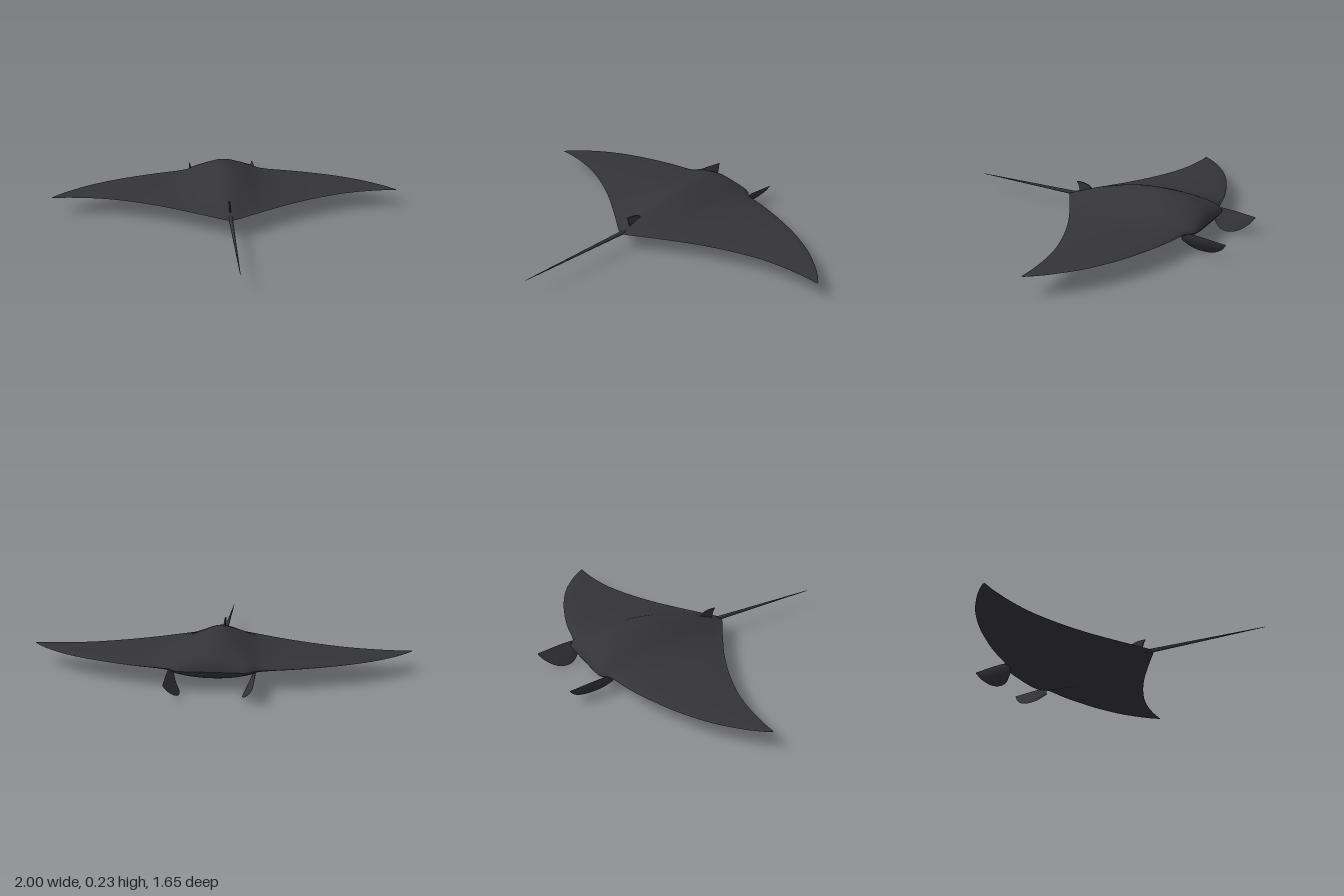
import * as THREE from 'three';

// Smooth interpolation through a few [x, y] points
function curve(pts) {
  const n = pts.length;
  const slope = (i) => {
    const a = pts[Math.max(i - 1, 0)], b = pts[Math.min(i + 1, n - 1)];
    return (b[1] - a[1]) / (b[0] - a[0]);
  };
  return (x) => {
    let i = 0;
    while (i < n - 2 && x > pts[i + 1][0]) i++;
    const [x0, y0] = pts[i], [x1, y1] = pts[i + 1];
    const h = x1 - x0, t = Math.min(Math.max((x - x0) / h, 0), 1), t2 = t * t, t3 = t2 * t;
    return (2 * t3 - 3 * t2 + 1) * y0 + (t3 - 2 * t2 + t) * h * slope(i)
      + (3 * t2 - 2 * t3) * y1 + (t3 - t2) * h * slope(i + 1);
  };
}

// Grid surface from a rule f(u, v) -> [x, y, z]
function surface(nu, nv, f, flip) {
  const pos = [], idx = [];
  for (let i = 0; i <= nu; i++) for (let j = 0; j <= nv; j++) pos.push(...f(i / nu, j / nv));
  for (let i = 0; i < nu; i++) for (let j = 0; j < nv; j++) {
    const a = i * (nv + 1) + j, b = a + 1, d = a + nv + 1, c = d + 1;
    if (flip) idx.push(a, c, b, a, d, c);
    else idx.push(a, b, c, a, c, d);
  }
  const g = new THREE.BufferGeometry();
  g.setAttribute('position', new THREE.Float32BufferAttribute(pos, 3));
  g.setIndex(idx);
  g.computeVertexNormals();
  return g;
}

export function createModel() {
  const model = new THREE.Group();
  model.name = 'mantaRay';
  const skin = new THREE.MeshStandardMaterial({ color: 0x333338 });
  skin.name = 'charcoal skin';
  const add = (name, geometry, parent = model) => {
    const mesh = new THREE.Mesh(geometry, skin);
    mesh.name = name;
    parent.add(mesh);
    return mesh;
  };

  // Body and wings: plan outline, spanwise thickness and chord section
  const leading = curve([[0, -0.655], [0.16, -0.655], [0.185, -0.645], [0.205, -0.625], [0.23, -0.612],
    [0.37, -0.582], [0.51, -0.537], [0.66, -0.475], [0.8, -0.395], [0.9, -0.315], [0.96, -0.255], [1, -0.205]]);
  const trailing = curve([[0, 0.2], [0.03, 0.188], [0.1, 0.142], [0.2, 0.077], [0.35, -0.015],
    [0.51, -0.095], [0.67, -0.155], [0.8, -0.183], [0.92, -0.195], [1, -0.195]]);
  const rise = curve([[-0.1, 0.097], [0, 0.125], [0.1, 0.097], [0.2, 0.052], [0.3, 0.029],
    [0.4, 0.021], [0.6, 0.013], [0.8, 0.006], [1, 0.001]]);
  const drop = curve([[-0.1, 0.068], [0, 0.081], [0.1, 0.068], [0.2, 0.034], [0.3, 0.018],
    [0.5, 0.01], [0.8, 0.004], [1, 0.001]]);
  const section = curve([[0, 0], [0.015, 0.27], [0.06, 0.56], [0.18, 0.88], [0.345, 1],
    [0.53, 0.92], [0.76, 0.56], [0.88, 0.28], [0.95, 0.1], [1, 0]]);
  const bodyPoint = (side, thickness) => (u, v) => {
    const x = u * 2 - 1, ax = Math.abs(x);
    const s = (1 - Math.cos(Math.PI * v)) / 2;
    const z = leading(ax) + s * (trailing(ax) - leading(ax));
    return [x, 0.101 + side * thickness(ax) * section(s), z];
  };
  const body = new THREE.Group();
  body.name = 'body';
  model.add(body);
  add('back', surface(120, 48, bodyPoint(1, rise), false), body);
  add('belly', surface(120, 48, bodyPoint(-1, drop), true), body);

  // Curled head fins, each with an inner and an outer skin
  const finTop = curve([[-0.825, 0.089], [-0.65, 0.105], [-0.59, 0.1]]);
  const finBottom = curve([[-0.825, 0.083], [-0.8, 0.05], [-0.75, 0.014], [-0.695, 0.001],
    [-0.64, 0.012], [-0.59, 0.055]]);
  for (const side of [1, -1]) {
    const fin = new THREE.Group();
    fin.name = side > 0 ? 'leftHeadFin' : 'rightHeadFin';
    model.add(fin);
    const finPoint = (bulge) => (u, v) => {
      const z = -0.825 + 0.235 * u;
      const y = finTop(z) + v * (finBottom(z) - finTop(z));
      const curl = 0.06 * Math.pow(Math.max(0.105 - y, 0) / 0.105, 1.7);
      const thick = bulge * Math.sin(Math.PI * v) * Math.min(1, u * 2.5);
      return [side * (0.208 - curl + thick), y, z];
    };
    add('innerFinSkin', surface(24, 12, finPoint(-0.012), side < 0), fin);
    add('outerFinSkin', surface(24, 12, finPoint(0.004), side > 0), fin);
  }

  // Small swept dorsal fin, drawn in the side plane
  const shape = new THREE.Shape();
  shape.moveTo(0.04, 0.13);
  shape.lineTo(0.055, 0.148);
  shape.quadraticCurveTo(0.085, 0.18, 0.155, 0.176);
  shape.quadraticCurveTo(0.138, 0.155, 0.133, 0.105);
  const dorsal = new THREE.ExtrudeGeometry(shape, { depth: 0.008, bevelEnabled: false, curveSegments: 8 });
  dorsal.translate(0, 0, -0.004);
  dorsal.rotateY(-Math.PI / 2);
  add('dorsalFin', dorsal);

  // Whip tail tapering to a point
  const tail = new THREE.CylinderGeometry(0.0012, 0.012, 0.685, 10, 4);
  tail.rotateX(Math.PI / 2);
  tail.translate(0, 0.102, 0.4825);
  add('tail', tail);

  return model;
}
